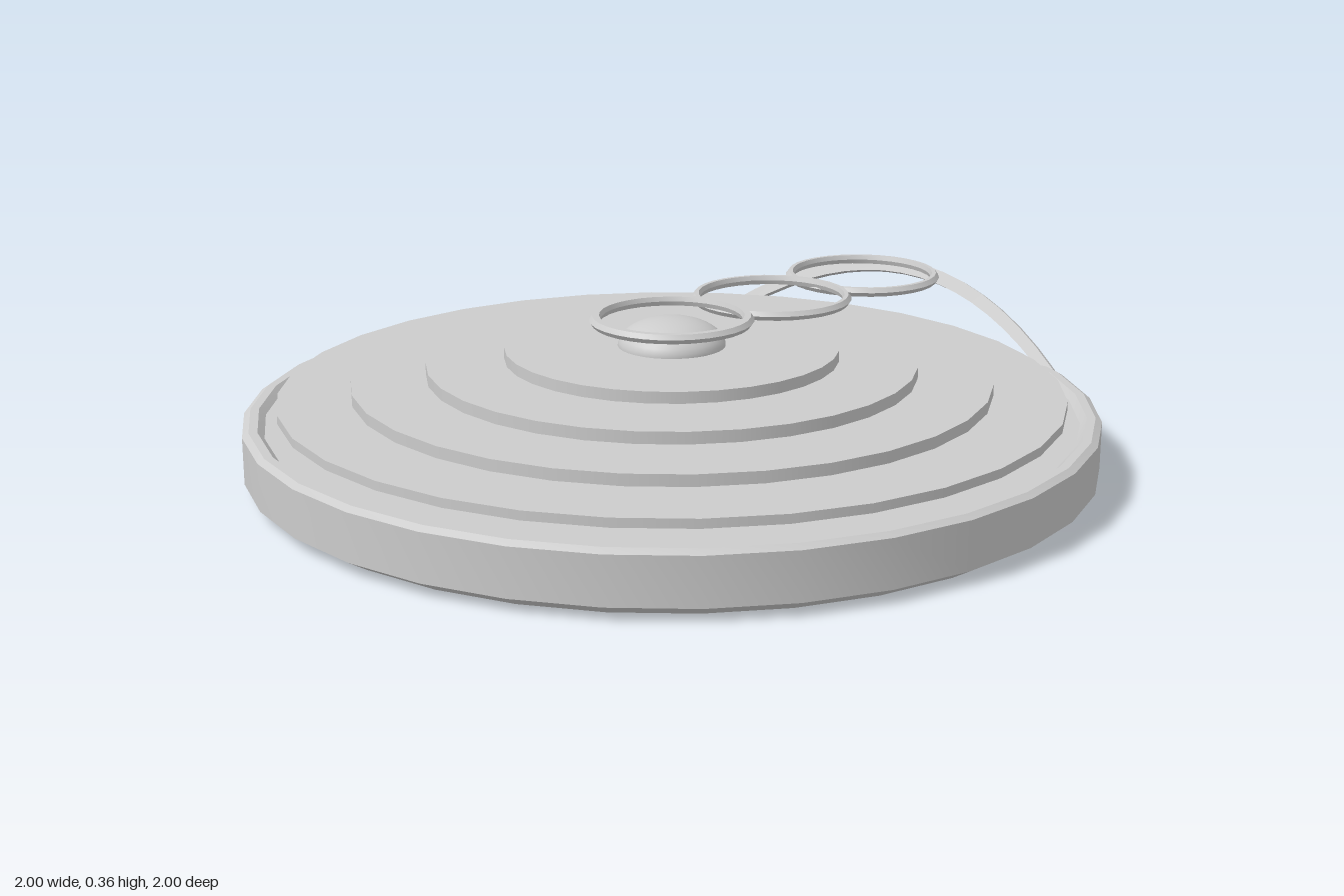
import * as THREE from 'three';
import { toCreasedNormals } from 'three/addons/utils/BufferGeometryUtils.js';

const SIDES = 32;

export function createModel() {
  const model = new THREE.Group();
  const material = new THREE.MeshStandardMaterial({ color: 0xcccccc });

  function add(name, geometry, x = 0, y = 0, z = 0) {
    const mesh = new THREE.Mesh(geometry, material);
    mesh.name = name;
    mesh.position.set(x, y, z);
    model.add(mesh);
  }

  // Turned part with crisp profile edges and a smooth outline
  function turned(profile) {
    const points = profile.map(([r, y]) => new THREE.Vector2(r, y));
    return toCreasedNormals(new THREE.LatheGeometry(points, SIDES), 0.4);
  }

  // Round base with bevelled foot and a low raised rim
  add('base', turned([
    [0, 0], [0.95, 0], [1, 0.03], [1, 0.14], [0.985, 0.15],
    [0.965, 0.15], [0.95, 0.135], [0, 0.135],
  ]));

  // Hidden spindle carrying the stacked discs
  add('spindle', new THREE.CylinderGeometry(0.1, 0.1, 0.16, SIDES), 0, 0.21, 0);

  // Stepped discs: radius, bottom, top
  const discs = [
    [0.92, 0.166, 0.187],
    [0.75, 0.194, 0.221],
    [0.575, 0.228, 0.256],
    [0.392, 0.262, 0.289],
  ];
  discs.forEach(([radius, bottom, top], i) => {
    add(`disc${i + 1}`, new THREE.CylinderGeometry(radius, radius, top - bottom, SIDES),
      0, (bottom + top) / 2, 0);
  });

  // Flattened central dome
  const dome = new THREE.SphereGeometry(0.127, SIDES, 10, 0, Math.PI * 2, 0, Math.PI / 2);
  dome.scale(1, 0.52, 1);
  add('dome', dome, 0, 0.288, 0);

  // Chain of three thin rings stepping down towards the rim
  const ring = (inner, outer) => turned([
    [inner, 0], [inner + 0.004, -0.011], [outer - 0.008, -0.011], [outer, 0],
    [outer - 0.008, 0.011], [inner + 0.004, 0.011], [inner, 0],
  ]);
  add('innerRing', ring(0.166, 0.194), 0, 0.351, 0);
  add('middleRing', ring(0.175, 0.197), 0.37, 0.334, 0);
  add('outerRing', ring(0.175, 0.197), 0.742, 0.323, 0);

  // Flat arched support leaning outwards from the rim to the last ring
  const arch = new THREE.Shape();
  arch.moveTo(-0.52, 0);
  arch.quadraticCurveTo(0, 0.406, 0.52, 0);
  arch.lineTo(0.47, 0);
  arch.quadraticCurveTo(0, 0.336, -0.47, 0);
  const archGeometry = new THREE.ExtrudeGeometry(arch, {
    depth: 0.015, bevelEnabled: false, curveSegments: 16,
  });
  archGeometry.rotateY(-Math.PI / 2).rotateZ(-0.453);
  add('archSupport', toCreasedNormals(archGeometry, 0.4), 0.855, 0.14, 0);

  return model;
}
